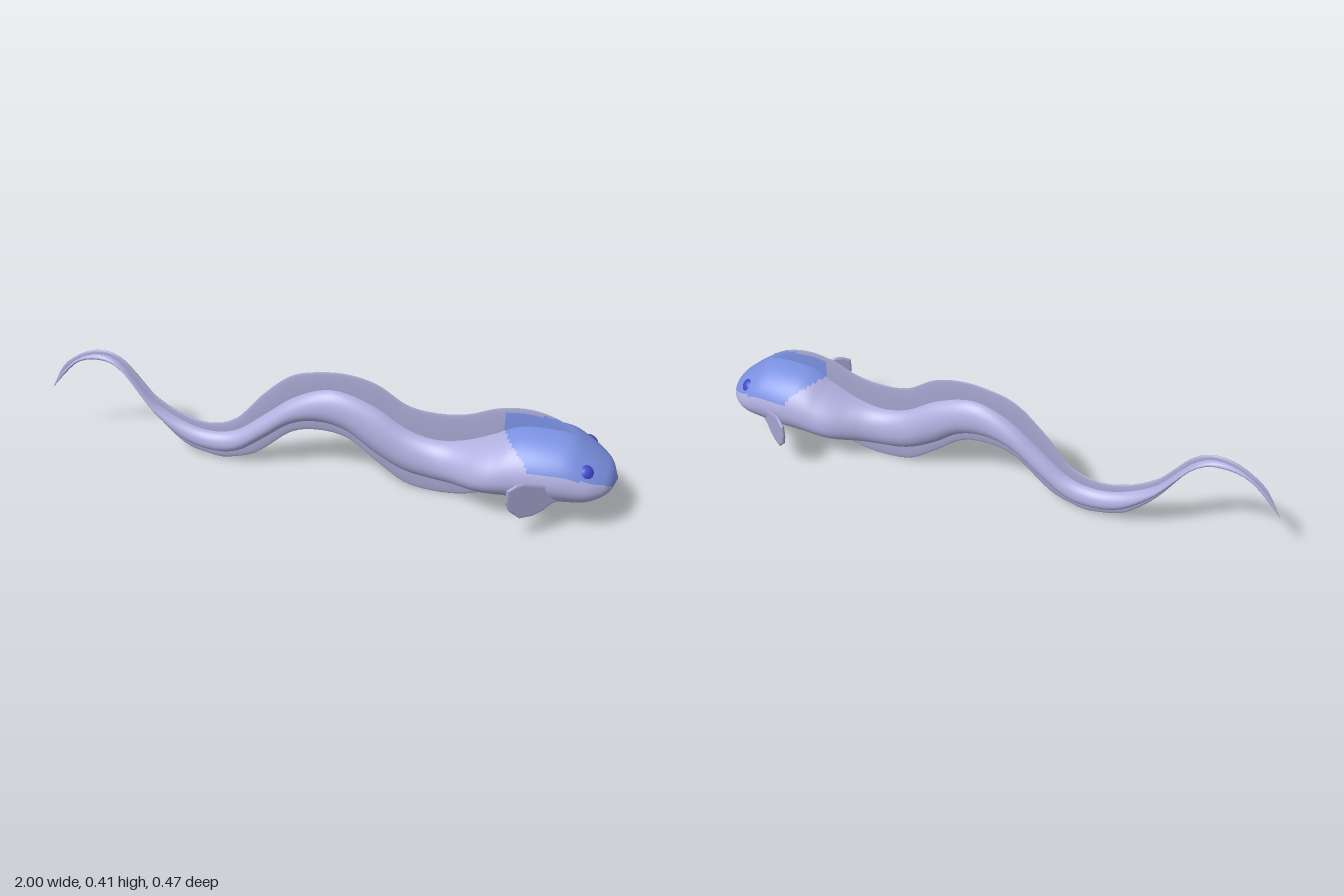
import * as THREE from 'three';

// smooth curve through [x, value, x, value, ...]
function curve(...n) {
  const p = [];
  for (let i = 0; i < n.length; i += 2) p.push([n[i], n[i + 1]]);
  const slope = (i) => {
    const a = p[Math.max(i - 1, 0)], b = p[Math.min(i + 1, p.length - 1)];
    return (b[1] - a[1]) / (b[0] - a[0]);
  };
  return (x) => {
    let i = 0;
    while (i < p.length - 2 && x > p[i + 1][0]) i++;
    const d = p[i + 1][0] - p[i][0];
    const t = Math.min(1, Math.max(0, (x - p[i][0]) / d));
    const t2 = t * t, t3 = t2 * t;
    return (2 * t3 - 3 * t2 + 1) * p[i][1] + (t3 - 2 * t2 + t) * d * slope(i)
      + (3 * t2 - 2 * t3) * p[i + 1][1] + (t3 - t2) * d * slope(i + 1);
  };
}

// outlines along the length of the fish
const bodyTop = curve(-1, 0.2, -0.96, 0.262, -0.9, 0.322, -0.85, 0.35, -0.8, 0.362, -0.75, 0.355, -0.7, 0.32,
  -0.65, 0.26, -0.6, 0.2, -0.5, 0.14, -0.4, 0.115, -0.3, 0.135, -0.2, 0.21, -0.1, 0.29, 0, 0.338, 0.08, 0.343,
  0.2, 0.3, 0.3, 0.238, 0.4, 0.212, 0.5, 0.227, 0.6, 0.27, 0.65, 0.298, 0.7, 0.312, 0.8, 0.313, 0.85, 0.303,
  0.9, 0.272, 0.95, 0.235, 0.98, 0.207, 1, 0.165);
const bodyBottom = curve(-1, 0.198, -0.96, 0.245, -0.9, 0.307, -0.85, 0.332, -0.8, 0.339, -0.75, 0.332, -0.7, 0.295,
  -0.65, 0.225, -0.6, 0.16, -0.5, 0.07, -0.4, 0.04, -0.3, 0.052, -0.2, 0.12, -0.1, 0.195, 0, 0.22, 0.1, 0.2,
  0.2, 0.13, 0.3, 0.08, 0.4, 0.065, 0.5, 0.068, 0.6, 0.073, 0.8, 0.08, 0.9, 0.092, 0.96, 0.118, 0.985, 0.138, 1, 0.163);
const bodyWidth = curve(-1, 0.001, -0.9, 0.01, -0.8, 0.02, -0.6, 0.033, -0.4, 0.038, -0.2, 0.044, 0, 0.048, 0.2, 0.053,
  0.38, 0.06, 0.45, 0.078, 0.5, 0.105, 0.55, 0.135, 0.6, 0.15, 0.7, 0.158, 0.8, 0.156, 0.9, 0.14, 0.95, 0.11, 0.98, 0.07, 1, 0.001);
const dorsalEdge = curve(-1, 0.201, -0.95, 0.29, -0.9, 0.334, -0.85, 0.362, -0.8, 0.375, -0.75, 0.37, -0.7, 0.34, -0.65, 0.28,
  -0.6, 0.222, -0.5, 0.165, -0.4, 0.146, -0.3, 0.18, -0.2, 0.29, -0.1, 0.375, 0, 0.404, 0.1, 0.409, 0.2, 0.385,
  0.3, 0.325, 0.4, 0.31, 0.5, 0.322, 0.6, 0.36, 0.7, 0.371, 0.8, 0.345, 0.88, 0.285);
const ventralEdge = curve(-0.75, 0.332, -0.7, 0.29, -0.6, 0.142, -0.5, 0.045, -0.4, 0.014, -0.35, 0.011, -0.25, 0.04, -0.2, 0.075,
  -0.1, 0.157, 0, 0.18, 0.1, 0.163, 0.2, 0.09, 0.3, 0.022, 0.4, 0.004, 0.5, 0.01, 0.6, 0.04, 0.7, 0.06, 0.85, 0.085);

// blue cap over the head and a blue patch under the belly
const isBlue = (x, y, z) =>
  (x > 0.63 + 4 * z * z && y > 0.13 + 0.62 * Math.abs(z) && y < 0.352) ||
  (x > 0.32 && x < 0.49 && y > 0.05 && y < bodyBottom(x) + 0.014);

// oval cross-sections swept along x; group 0 is plain, group 1 is blue
function loft(xs, top, bottom, width, ring) {
  const pos = [], faces = [[], []];
  for (const x of xs) {
    const t = top(x), b = bottom(x), c = b + 0.45 * (t - b), w = width(x);
    for (let j = 0; j < ring; j++) {
      const a = (j / ring) * Math.PI * 2, s = Math.sin(a);
      pos.push(x, c + s * (s > 0 ? t - c : c - b), w * Math.cos(a));
    }
  }
  for (let i = 0; i < xs.length - 1; i++) {
    for (let j = 0; j < ring; j++) {
      const k = (j + 1) % ring;
      const p = i * ring + j, q = p + ring, r = (i + 1) * ring + k, s = i * ring + k;
      const mid = (o) => (pos[p * 3 + o] + pos[r * 3 + o]) / 2;
      faces[isBlue(mid(0), mid(1), mid(2)) ? 1 : 0].push(p, q, r, p, r, s);
    }
  }
  const g = new THREE.BufferGeometry();
  g.setAttribute('position', new THREE.Float32BufferAttribute(pos, 3));
  g.setIndex([...faces[0], ...faces[1]]);
  g.addGroup(0, faces[0].length, 0);
  g.addGroup(faces[0].length, faces[1].length, 1);
  g.computeVertexNormals();
  return g;
}

const range = (a, b, n, f = (t) => t) => Array.from({ length: n + 1 }, (_, i) => a + (b - a) * f(i / n));

export function createModel() {
  const model = new THREE.Group();
  const material = (name, color, extra = {}) => {
    const m = new THREE.MeshStandardMaterial({ color, ...extra });
    m.name = name;
    return m;
  };
  const skin = material('lavender skin', 0xb0b0e0);
  const blue = material('blue marking', 0x7a90e0);
  const finSkin = material('fin lavender', 0xa6a6d0, { side: THREE.DoubleSide });
  const eyeBlue = material('eye blue', 0x4048c8);
  const add = (name, geometry, mat) => {
    const mesh = new THREE.Mesh(geometry, mat);
    mesh.name = name;
    model.add(mesh);
    return mesh;
  };

  // body, with rings packed closer together at the nose
  const xs = [...range(-1, 0.3, 52), ...range(0.3, 0.6, 24).slice(1),
    ...range(0.6, 1, 64, (t) => Math.sin(t * Math.PI / 2)).slice(1)];
  add('body', loft(xs, bodyTop, bodyBottom, bodyWidth, 96), [skin, blue]);

  // long fins along the back and belly
  const thin = (x) => Math.min(0.006, bodyWidth(x) * 0.5);
  add('dorsalFin', loft(range(-1, 0.88, 110), dorsalEdge,
    (x) => bodyTop(x) - 0.5 * (bodyTop(x) - bodyBottom(x)), thin, 32), [finSkin, blue]);
  add('ventralFin', loft(range(-0.75, 0.85, 90), (x) => bodyBottom(x) + 0.4 * (bodyTop(x) - bodyBottom(x)),
    ventralEdge, thin, 24), [finSkin, finSkin]);

  // side fin outline: distance out from the body, height
  const outline = [[-0.02, 0.18], [0.02, 0.192], [0.06, 0.205], [0.105, 0.219], [0.128, 0.218], [0.16, 0.204],
    [0.161, 0.16], [0.147, 0.125], [0.105, 0.088], [0.06, 0.087], [0.025, 0.098], [0, 0.115], [-0.03, 0.125]];
  const finShape = new THREE.Shape(outline.map(([u, v]) => new THREE.Vector2(u, v)));

  for (const side of [1, -1]) {
    const label = side > 0 ? 'left' : 'right';

    // side fins sweep back and outwards
    const fin = add(label + 'PectoralFin', new THREE.ExtrudeGeometry(finShape, {
      depth: 0.004, bevelEnabled: true, bevelThickness: 0.004, bevelSize: 0.008, bevelOffset: -0.008, bevelSegments: 2,
    }), finSkin);
    fin.position.set(0.8, 0, side * 0.14);
    fin.rotation.y = side > 0 ? Math.PI + 0.63 : Math.PI - 0.63;

    // eyes, slightly flattened against the head
    const eye = add(label + 'Eye', new THREE.SphereGeometry(0.025, 20, 14), eyeBlue);
    eye.position.set(0.9, 0.23, side * 0.102);
    eye.lookAt(1.3, 0.65, side * 0.6);
    eye.scale.z = 0.6;

    // chin barbels
    const barbel = add(label + 'Barbel', new THREE.ConeGeometry(0.006, 0.06, 8), finSkin);
    barbel.position.set(0.855, 0.067, side * 0.034);
    barbel.rotation.z = Math.PI - 0.5;
  }
  return model;
}
